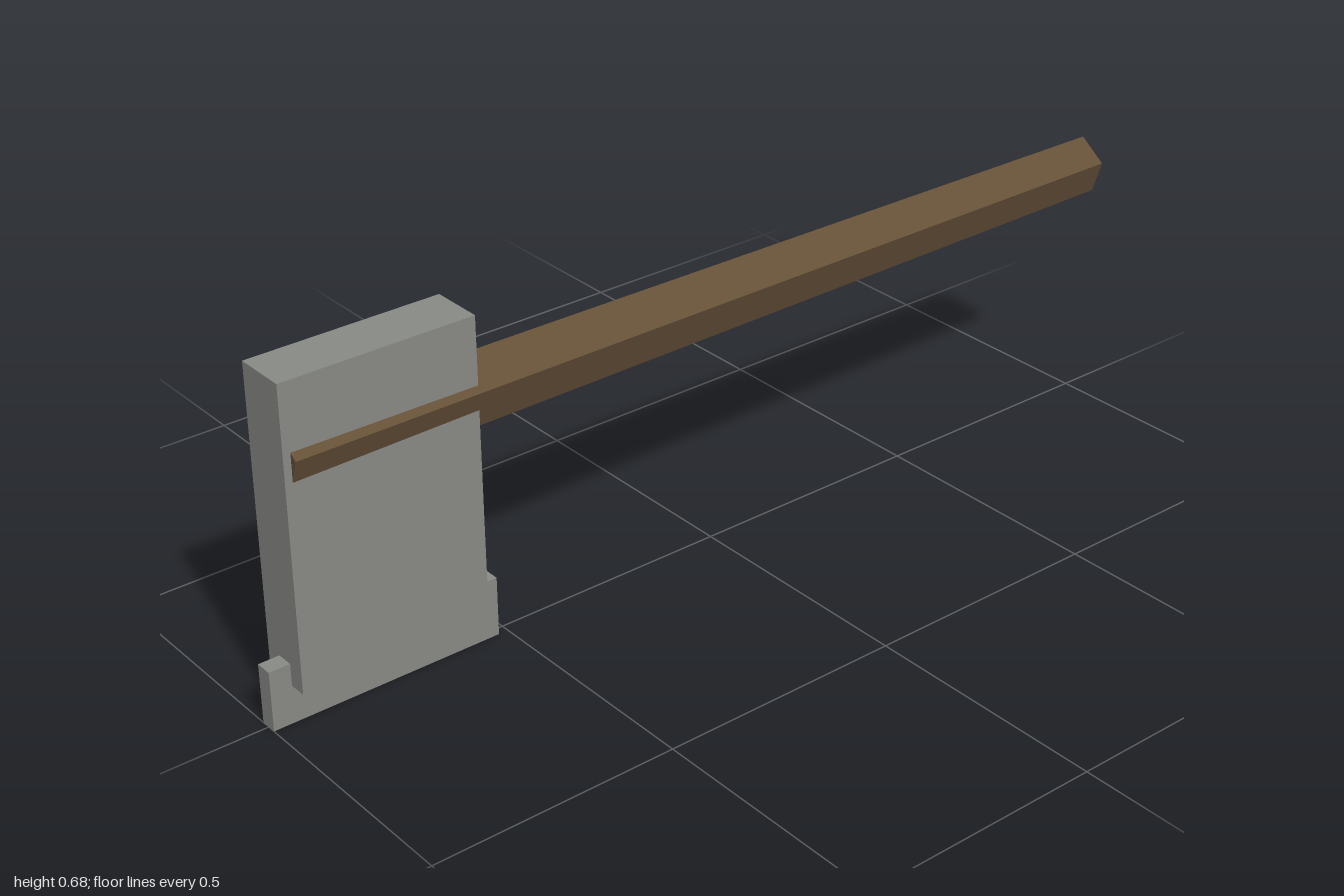
import * as THREE from 'three';

export function createModel() {
  const model = new THREE.Group();
  model.name = 'hammer';

  const stone = new THREE.MeshStandardMaterial({ color: 0x888a85 });
  stone.name = 'stone grey';
  const wood = new THREE.MeshStandardMaterial({ color: 0x654f37, flatShading: true });
  wood.name = 'brown wood';

  // Box spanning y0..y1 and z0..z1, centred on x = 0
  const addBlock = (name, width, y0, y1, z0, z1) => {
    const mesh = new THREE.Mesh(new THREE.BoxGeometry(width, y1 - y0, z1 - z0), stone);
    mesh.position.set(0, (y0 + y1) / 2, (z0 + z1) / 2);
    mesh.name = name;
    model.add(mesh);
  };

  // Slab head with a thinner, longer edge let into its underside
  addBlock('head', 0.107, 0.077, 0.683, 0.565, 0.957);
  addBlock('edge', 0.035, 0, 0.122, 0.52, 1);

  // Five-sided handle, ridge up, narrowing toward the back
  const front = 0.942, back = -1;
  const geometry = new THREE.CylinderGeometry(0.06, 0.072, front - back, 5);
  geometry.rotateX(-Math.PI / 2);
  const handle = new THREE.Mesh(geometry, wood);
  handle.position.set(0, 0.517, (front + back) / 2);
  handle.name = 'handle';
  model.add(handle);

  return model;
}
